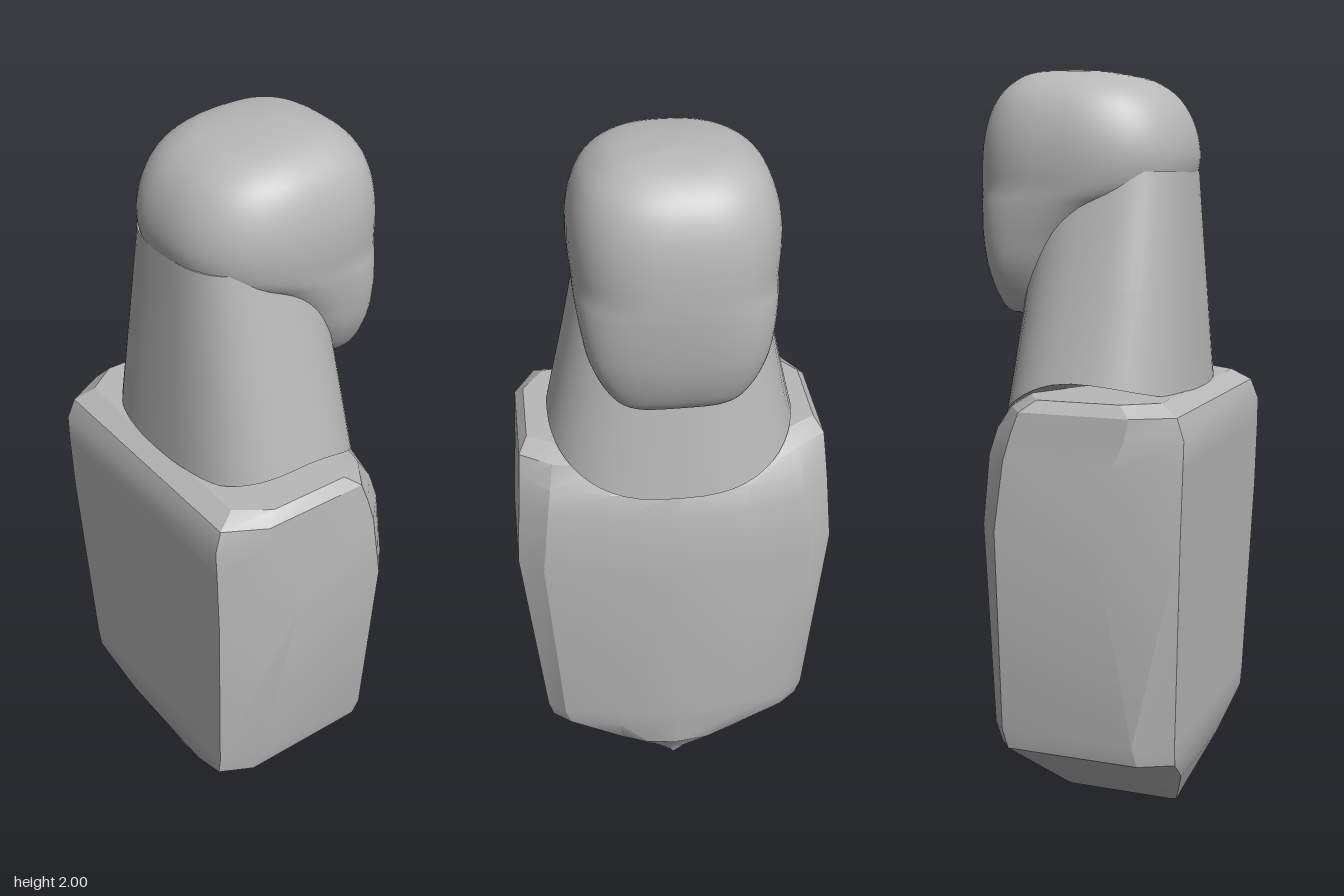
import * as THREE from 'three';
import { toCreasedNormals } from 'three/addons/utils/BufferGeometryUtils.js';

// Skin a stack of closed rings (bottom to top) and cap both ends
function loft(rings) {
  const n = rings[0].length, pos = [], idx = [];
  rings.forEach(r => r.forEach(p => pos.push(...p)));
  for (let i = 0; i < rings.length - 1; i++) {
    for (let j = 0; j < n; j++) {
      const k = (j + 1) % n, a = i * n + j, b = i * n + k;
      idx.push(a, b, b + n, a, b + n, a + n);
    }
  }
  [0, rings.length - 1].forEach((i, top) => {
    const c = pos.length / 3;
    const mid = [0, 1, 2].map(q => rings[i].reduce((s, p) => s + p[q], 0) / n);
    pos.push(...mid);
    for (let j = 0; j < n; j++) {
      const a = i * n + j, b = i * n + (j + 1) % n;
      if (top) idx.push(c, a, b); else idx.push(c, b, a);
    }
  });
  const g = new THREE.BufferGeometry();
  g.setAttribute('position', new THREE.Float32BufferAttribute(pos, 3));
  g.setIndex(idx);
  g.computeVertexNormals();
  return g;
}

// Rounded-square outline between xb and xf, half width w; yAt gives the height
function roundRing(xb, xf, w, power, steps, yAt, shift = 0) {
  const ring = [];
  const bend = v => Math.sign(v) * Math.abs(v) ** (2 / power);
  for (let j = 0; j < steps; j++) {
    const t = j / steps * Math.PI * 2;
    const c = bend(Math.cos(t)), s = bend(Math.sin(t));
    const x = (xb + xf) / 2 + c * (xf - xb) / 2 + shift * (1 - c * c);
    ring.push([x, yAt(c), -s * w]);
  }
  return ring;
}

// Torso: bevelled block with a keel-shaped base
function torsoGeometry() {
  // y, back x, back z, side start x, side end x, side z, front corner x, front corner z, front x
  const levels = [
    [0.005, -0.205, 0.004, -0.19, 0.11, 0.012, 0.12, 0.006, 0.125],
    [0.03, -0.215, 0.03, -0.2, 0.115, 0.05, 0.125, 0.035, 0.132],
    [0.15, -0.27, 0.17, -0.23, 0.14, 0.22, 0.18, 0.16, 0.218],
    [0.245, -0.298, 0.315, -0.21, 0.15, 0.36, 0.19, 0.31, 0.228],
    [0.3, -0.3, 0.325, -0.2, 0.16, 0.373, 0.2, 0.325, 0.232],
    [0.85, -0.319, 0.355, -0.12, 0.15, 0.426, 0.21, 0.36, 0.265],
    [1.03, -0.324, 0.355, -0.16, 0.13, 0.412, 0.2, 0.34, 0.255],
    [1.1, -0.325, 0.352, -0.19, 0.11, 0.407, 0.18, 0.33, 0.236],
    [1.155, -0.305, 0.345, -0.2, 0.09, 0.403, 0.145, 0.32, 0.19],
    [1.185, -0.255, 0.32, -0.17, 0.05, 0.38, 0.1, 0.3, 0.13],
  ];
  const rings = levels.map(([y, xb, zb, xa, xc, zs, xd, zd, xf]) => {
    const half = [
      [xf - (xf - xd) * 0.25, zd * 0.55], [xd, zd], [xc, zs], [xa, zs], [xb, zb],
    ];
    return [
      [xf, y, 0],
      ...half.map(([x, z]) => [x, y, -z]),
      ...half.reverse().map(([x, z]) => [x, y, z]),
    ];
  });
  return toCreasedNormals(loft(rings), 0.42);
}

// Neck: tapered column whose lower rim arches over the shoulders
function neckGeometry() {
  const rim = c => 1.22 - (c > 0 ? 0.13 : 0.05) * c * c;
  const rings = [
    roundRing(-0.262, 0.243, 0.322, 2.7, 56, rim, -0.01),
    roundRing(-0.245, 0.192, 0.268, 2.7, 56, () => 1.45, -0.01),
    roundRing(-0.228, 0.15, 0.208, 2.7, 56, () => 1.74, -0.01),
  ];
  return toCreasedNormals(loft(rings), 0.7);
}

// Head: soft rounded block with the underside sloping down to the chin
function headGeometry() {
  // y, back x, front x, half width
  const keys = [
    [1.362, 0.17, 0.225, 0.05], [1.38, 0.13, 0.25, 0.135], [1.42, 0.085, 0.275, 0.178],
    [1.5, 0.03, 0.302, 0.218], [1.58, -0.03, 0.316, 0.236], [1.65, -0.12, 0.323, 0.246],
    [1.7, -0.21, 0.325, 0.25], [1.76, -0.233, 0.324, 0.255], [1.82, -0.23, 0.318, 0.253],
    [1.88, -0.21, 0.303, 0.24], [1.93, -0.175, 0.277, 0.216], [1.97, -0.115, 0.235, 0.172],
    [1.99, -0.03, 0.19, 0.12], [2.0, 0.06, 0.12, 0.03],
  ];
  const curve = (a, b) => new THREE.CatmullRomCurve3(
    keys.map(k => new THREE.Vector3(k[a], k[0], b ? k[b] : 0)));
  const back = curve(1, 3), front = curve(2);
  const rings = [], steps = (keys.length - 1) * 4;
  for (let i = 0; i <= steps; i++) {
    const p = back.getPoint(i / steps), q = front.getPoint(i / steps);
    rings.push(roundRing(p.x, q.x, p.z, 2.5, 64, () => p.y, 0.02));
  }
  return loft(rings);
}

export function createModel() {
  const grey = new THREE.MeshStandardMaterial({ color: 0xb8b8b8 });
  grey.name = 'plain grey';
  const model = new THREE.Group();
  model.name = 'bust';
  const parts = { torso: torsoGeometry(), neck: neckGeometry(), head: headGeometry() };
  for (const [name, geometry] of Object.entries(parts)) {
    const mesh = new THREE.Mesh(geometry, grey);
    mesh.name = name;
    model.add(mesh);
  }
  return model;
}
